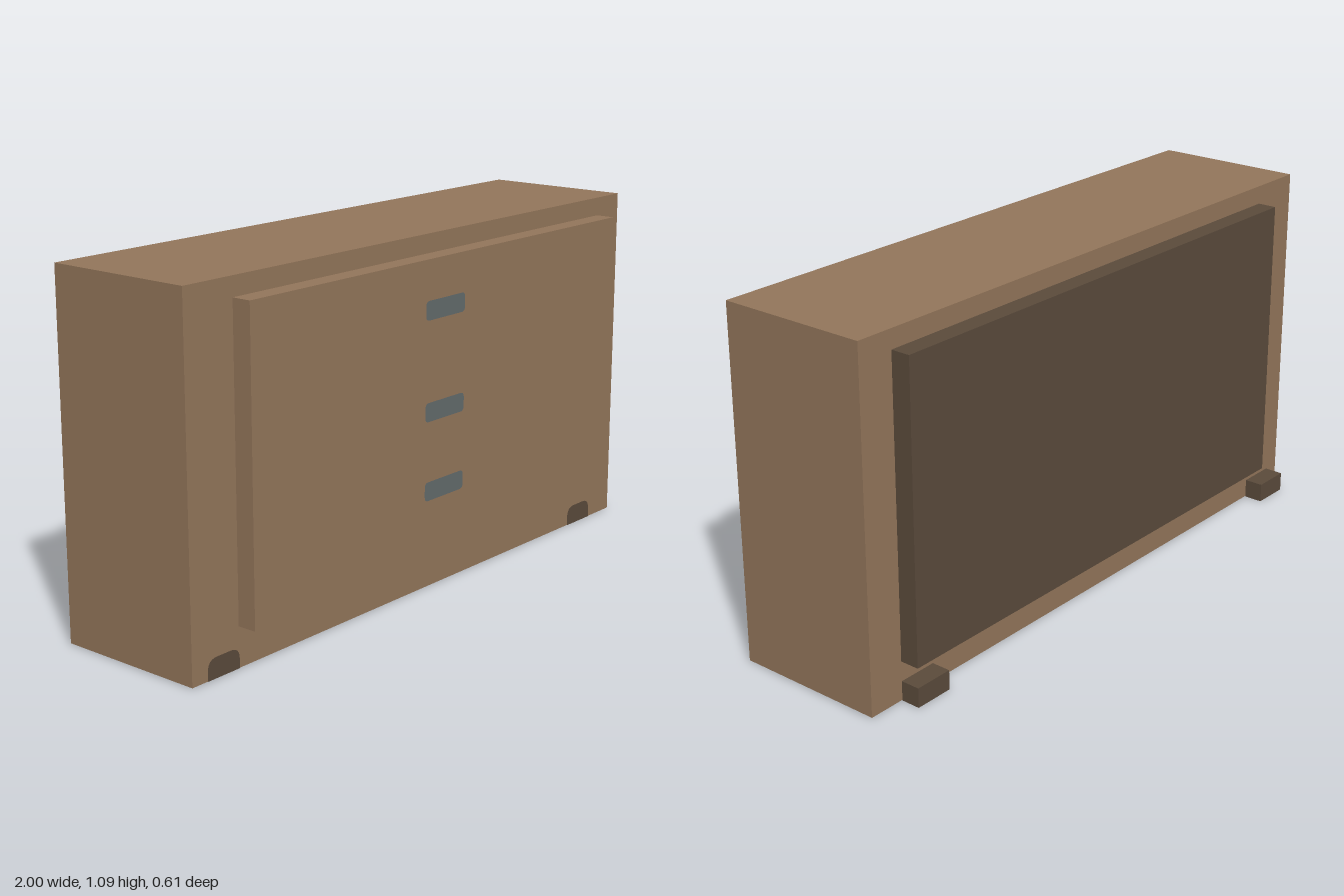
import * as THREE from 'three';

export function createModel() {
  const group = new THREE.Group();
  const mat = (name, color, side = THREE.FrontSide) => {
    const m = new THREE.MeshStandardMaterial({ color, side });
    m.name = name;
    return m;
  };
  const wood = mat('wood', 0x92755a);
  const darkWood = mat('dark wood', 0x5a4a3b);
  const metal = mat('grey metal', 0x626a6b);

  const add = (name, geometry, material) => {
    const mesh = new THREE.Mesh(geometry, material);
    mesh.name = name;
    group.add(mesh);
    return mesh;
  };
  // Box given by its limits on each axis
  const box = (name, material, [x0, x1], [y0, y1], [z0, z1]) =>
    add(name, new THREE.BoxGeometry(x1 - x0, y1 - y0, z1 - z0), material)
      .position.set((x0 + x1) / 2, (y0 + y1) / 2, (z0 + z1) / 2);

  // Flat rectangle with rounded top corners (r) and bottom corners (rb)
  const roundedPlate = (w, h, r, rb) => {
    const s = new THREE.Shape();
    s.moveTo(-w / 2 + rb, 0);
    s.lineTo(w / 2 - rb, 0);
    s.quadraticCurveTo(w / 2, 0, w / 2, rb);
    s.lineTo(w / 2, h - r);
    s.quadraticCurveTo(w / 2, h, w / 2 - r, h);
    s.lineTo(-w / 2 + r, h);
    s.quadraticCurveTo(-w / 2, h, -w / 2, h - r);
    s.lineTo(-w / 2, rb);
    s.quadraticCurveTo(-w / 2, 0, -w / 2 + rb, 0);
    return new THREE.ShapeGeometry(s, 6);
  };

  // Cabinet with a raised front and a back board
  box('cabinet', wood, [-1, 1], [0.002, 1.09], [-0.242, 0.242]);
  box('frontPanel', wood, [-0.82, 0.88], [0.123, 1.032], [0.242, 0.303]);
  box('backPanel', darkWood, [-0.82, 0.88], [0.123, 1.032], [-0.303, -0.242]);

  // Drawer handles
  for (const y of [0.853, 0.549, 0.307]) {
    add('handle', roundedPlate(0.184, 0.058, 0.016, 0.016), metal).position.set(0, y, 0.305);
  }

  // Feet: blocks at the back, flush inlays at the front and underneath
  for (const [x0, x1] of [[-0.943, -0.82], [0.754, 0.88]]) {
    box('backFoot', darkWood, [x0, x1], [0, 0.061], [-0.303, -0.242]);
    const inlay = roundedPlate(x1 - x0, 0.062, 0.035, 0.001);
    add('frontFoot', inlay, darkWood).position.set((x0 + x1) / 2, 0.002, 0.244);
    const under = add('frontFootUnderside', inlay, darkWood);
    under.rotation.x = Math.PI / 2;
    under.rotation.z = Math.PI;
    under.position.set((x0 + x1) / 2, 0, 0.242);
  }
  return group;
}
